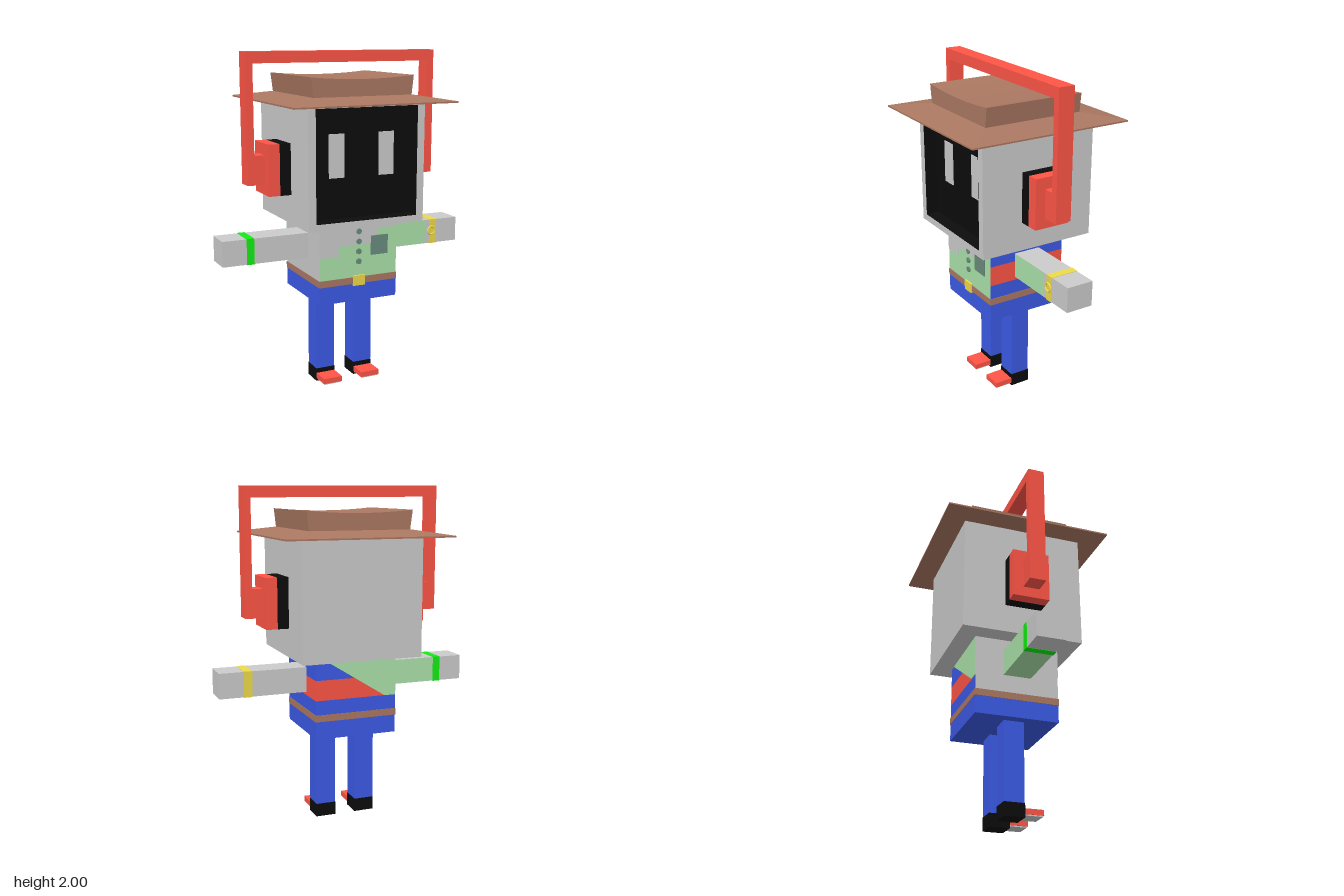
import * as THREE from 'three';

const paint = (color) => new THREE.MeshStandardMaterial({ color, flatShading: true });
const grey = paint(0xcccccc), black = paint(0x0c0c0c), red = paint(0xff5546), blue = paint(0x3c5ae6);
const green = paint(0xabe3ab), brown = paint(0xab7862), lime = paint(0x12ee12), yellow = paint(0xeeda4a);
const slate = paint(0x6a8c7c);

export function createModel() {
  const model = new THREE.Group();

  const add = (name, geometry, material) => {
    const mesh = new THREE.Mesh(geometry, material);
    mesh.name = name;
    model.add(mesh);
    return mesh;
  };
  // Box given by its limits on each axis
  const box = (name, material, x0, x1, y0, y1, z0, z1) => {
    const mesh = add(name, new THREE.BoxGeometry(x1 - x0, y1 - y0, z1 - z0), material);
    mesh.position.set((x0 + x1) / 2, (y0 + y1) / 2, (z0 + z1) / 2);
    return mesh;
  };
  const polygon = (points) => new THREE.Shape(points.map(([x, y]) => new THREE.Vector2(x, y)));
  const rect = (x0, x1, y0, y1) => polygon([[x0, y0], [x1, y0], [x1, y1], [x0, y1]]);
  const extrude = (name, shape, depth, z, material) => {
    const mesh = add(name, new THREE.ExtrudeGeometry(shape, { depth, bevelEnabled: false }), material);
    mesh.position.z = z;
    return mesh;
  };

  // Head: solid block, front frame and recessed black screen
  box('head', grey, -0.363, 0.363, 1.02, 1.72, -0.363, 0.28);
  const frame = rect(-0.363, 0.363, 1.02, 1.72);
  frame.holes.push(rect(-0.318, 0.318, 1.06, 1.7));
  extrude('faceFrame', frame, 0.083, 0.28, grey);
  const liner = rect(-0.318, 0.318, 1.06, 1.7);
  liner.holes.push(rect(-0.314, 0.314, 1.064, 1.696));
  extrude('screenLiner', liner, 0.081, 0.281, black);
  box('screen', black, -0.318, 0.318, 1.06, 1.7, 0.275, 0.282);
  for (const s of [-1, 1]) {
    const eye = box('eye', grey, -0.048, 0.048, 1.3, 1.55, 0.278, 0.287);
    eye.position.x = s * 0.157;
  }

  // Hat brim: a thin slab rising as a shallow pyramid to the crown
  box('brimEdge', brown, -0.5, 0.5, 1.715, 1.724, -0.5, 0.5);
  const slope = new THREE.BoxGeometry(1, 0.031, 1);
  const sp = slope.attributes.position;
  for (let i = 0; i < sp.count; i++) {
    if (sp.getY(i) > 0) sp.setXYZ(i, sp.getX(i) * 0.62, sp.getY(i), sp.getZ(i) * 0.62);
  }
  slope.computeVertexNormals();
  add('brimSlope', slope, brown).position.y = 1.7395;

  // Hat crown: flared upwards, with a dished top
  const crown = polygon([[-0.305, 1.75], [0.305, 1.75], [0.318, 1.866]]);
  crown.quadraticCurveTo(0, 1.834, -0.32, 1.866);
  extrude('crown', crown, 0.616, -0.308, brown);

  // Headphones
  const band = polygon([
    [-0.603, 1.25], [-0.495, 1.25], [-0.495, 1.42], [-0.56, 1.42], [-0.56, 1.935], [0.56, 1.935],
    [0.56, 1.42], [0.495, 1.42], [0.495, 1.25], [0.603, 1.25], [0.603, 2], [-0.603, 2],
  ]);
  extrude('headband', band, 0.098, -0.049, red);
  for (const s of [-1, 1]) {
    const cushion = box('earCushion', black, -0.0335, 0.0335, 1.19, 1.488, -0.11, 0.11);
    cushion.position.x = s * 0.3965;
    const cup = box('earCup', red, -0.034, 0.034, 1.19, 1.488, -0.11, 0.11);
    cup.position.x = s * 0.464;
  }

  // Torso: striped on the left side and back, plain on the front and right side
  const stripes = [[0.695, 0.78, blue], [0.78, 0.9, red], [0.9, 1.02, blue]];
  for (const [y0, y1, c] of stripes) {
    box('torsoBand', [c, grey, c, c, green, c], -0.25, 0.25, y0, y1, -0.25, 0.25);
  }
  const chest = polygon([[-0.25, 0.83], [-0.13, 0.83], [-0.13, 0.89], [0.12, 0.89],
    [0.12, 0.98], [0.25, 0.98], [0.25, 1.02], [-0.25, 1.02]]);
  extrude('chestPatch', chest, 0.004, 0.249, grey);
  const back = polygon([[0.2, 1.02], [-0.25, 1.02], [-0.25, 0.78], [-0.18, 0.78]]);
  extrude('backPatch', back, 0.004, -0.253, green);
  box('belt', brown, -0.253, 0.253, 0.655, 0.695, -0.253, 0.253);
  box('hips', blue, -0.25, 0.25, 0.55, 0.655, -0.25, 0.25);
  box('buckle', yellow, -0.038, 0.038, 0.645, 0.706, 0.25, 0.262);
  box('pocket', slate, 0.08, 0.19, 0.82, 0.936, 0.25, 0.257);
  for (let i = 0; i < 4; i++) {
    const button = add('button', new THREE.CylinderGeometry(0.017, 0.017, 0.012, 16), slate);
    button.rotation.x = Math.PI / 2;
    button.position.set(0, 0.79 + i * 0.06, 0.253);
  }

  // Arms: two-tone sleeves, hands and wristbands
  box('leftSleeve', [grey, grey, grey, green, green, grey], 0.25, 0.55, 0.8, 0.95, -0.083, 0.083);
  box('leftHand', grey, 0.55, 0.775, 0.8, 0.95, -0.083, 0.083);
  box('rightSleeve', [grey, grey, grey, green, grey, green], -0.6, -0.25, 0.8, 0.95, -0.083, 0.083);
  box('rightHand', grey, -0.775, -0.6, 0.8, 0.95, -0.083, 0.083);
  box('leftWristband', yellow, 0.58, 0.63, 0.798, 0.952, -0.086, 0.086);
  box('rightWristband', lime, -0.63, -0.585, 0.798, 0.952, -0.086, 0.086);
  const dial = add('watchDial', new THREE.TorusGeometry(0.025, 0.006, 6, 20), yellow);
  dial.position.set(0.595, 0.88, 0.086);

  // Legs and shoes
  for (const x of [-0.13, 0.122]) {
    box('leg', blue, x - 0.06, x + 0.06, 0.08, 0.55, -0.06, 0.06);
    box('ankle', black, x - 0.062, x + 0.062, 0, 0.08, -0.062, 0.062);
    box('shoeToe', red, x - 0.06, x + 0.06, 0.02, 0.052, 0.06, 0.173);
    box('sole', grey, x - 0.055, x + 0.055, 0.013, 0.02, 0.06, 0.168);
  }

  return model;
}
